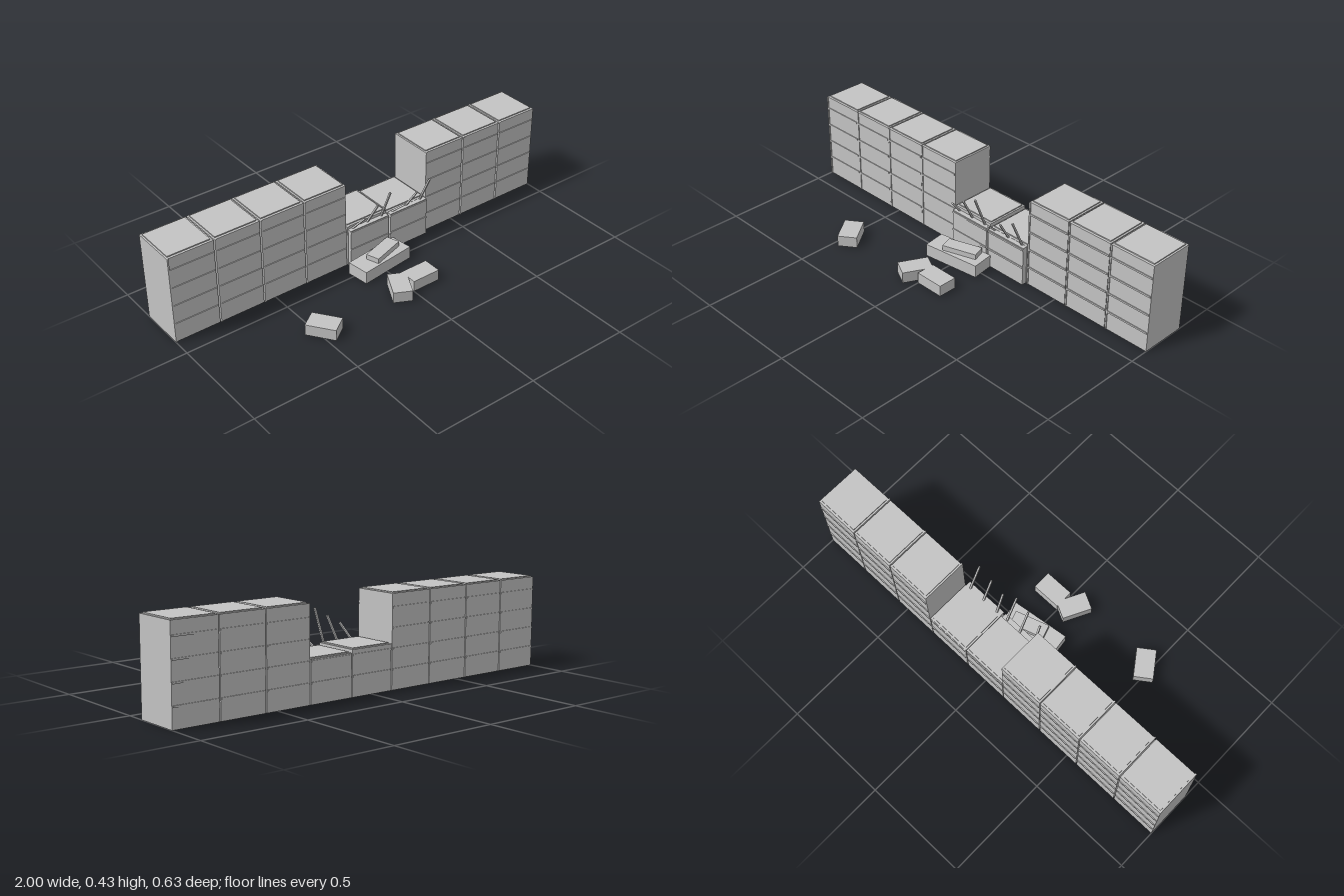
import * as THREE from 'three';

export function createModel() {
  const model = new THREE.Group();
  const concrete = new THREE.MeshStandardMaterial({ color: 0xc4c4c4 });
  concrete.name = 'concrete grey';

  // Box given by its minimum and maximum corners
  function box(parent, name, x0, x1, y0, y1, z0, z1) {
    const mesh = new THREE.Mesh(new THREE.BoxGeometry(x1 - x0, y1 - y0, z1 - z0), concrete);
    mesh.position.set((x0 + x1) / 2, (y0 + y1) / 2, (z0 + z1) / 2);
    mesh.name = name;
    parent.add(mesh);
  }

  const width = 0.218, pitch = (2 - width) / 8, back = -0.309, front = -0.089;
  const courses = [0.091, 0.182, 0.272, 0.362];

  // Row of nine wall sections; the two in the middle are broken off low
  for (let i = 0; i < 9; i++) {
    const section = new THREE.Group();
    const broken = i === 4 || i === 5;
    section.name = broken ? 'brokenWallSection' : 'wallSection';
    const x0 = -1 + i * pitch, x1 = x0 + width;
    const top = i === 4 ? 0.205 : i === 5 ? 0.192 : 0.422;
    const face = broken ? -0.066 : front;

    box(section, 'wallBody', x0, x1, 0, top, back, front);
    box(section, 'topCap', x0 + 0.008, x1 - 0.008, top, top + 0.005, back + 0.01, front - 0.011);
    box(section, 'jointStrip', x0, x0 + 0.007, 0, top, front, front + 0.004);
    if (broken) box(section, 'frontSlab', x0 + 0.003, x1 - 0.003, 0, 0.191, front, face);

    // Raised course lines on the front and back
    for (const y of courses) {
      if (y > top) continue;
      box(section, 'frontCourse', x0 + 0.003, x1 - 0.003, y - 0.004, y + 0.004, face, face + 0.004);
      box(section, 'backCourse', x0 + 0.003, x1 - 0.003, y - 0.004, y + 0.004, back - 0.004, back);
    }
    model.add(section);
  }

  // Bent reinforcing bars: base x, tip x, tip y
  const bars = [
    [-0.082, -0.062, 0.268], [0, 0.009, 0.307], [0.079, 0.079, 0.347],
    [0.14, 0.163, 0.252], [0.222, 0.232, 0.291], [0.304, 0.304, 0.33],
  ];
  for (const [bx, tx, ty] of bars) {
    const base = new THREE.Vector3(bx, 0.19, -0.085);
    const tip = new THREE.Vector3(tx, ty - 0.002, -0.02);
    const dir = tip.clone().sub(base);
    const bar = new THREE.Mesh(new THREE.BoxGeometry(0.008, dir.length(), 0.008), concrete);
    bar.position.copy(base).add(tip).multiplyScalar(0.5);
    bar.quaternion.setFromUnitVectors(new THREE.Vector3(0, 1, 0), dir.normalize());
    bar.name = 'reinforcingBar';
    model.add(bar);
  }

  // Fallen blocks: length, height, depth, x, base y, z, turn
  const rubble = [
    [0.279, 0.06, 0.109, 0.001, 0, 0.005, 0.13],
    [0.165, 0.025, 0.065, 0.022, 0.06, 0, 0.32],
    [0.14, 0.053, 0.09, 0.07, 0, 0.204, 0],
    [0.14, 0.053, 0.087, -0.053, 0, 0.216, 1.1],
    [0.138, 0.053, 0.09, -0.473, 0, 0.232, -0.95],
  ];
  for (const [l, h, d, x, y, z, turn] of rubble) {
    const block = new THREE.Mesh(new THREE.BoxGeometry(l, h, d), concrete);
    block.position.set(x, y + h / 2, z);
    block.rotation.y = turn;
    block.name = 'rubbleBlock';
    model.add(block);
  }
  return model;
}
